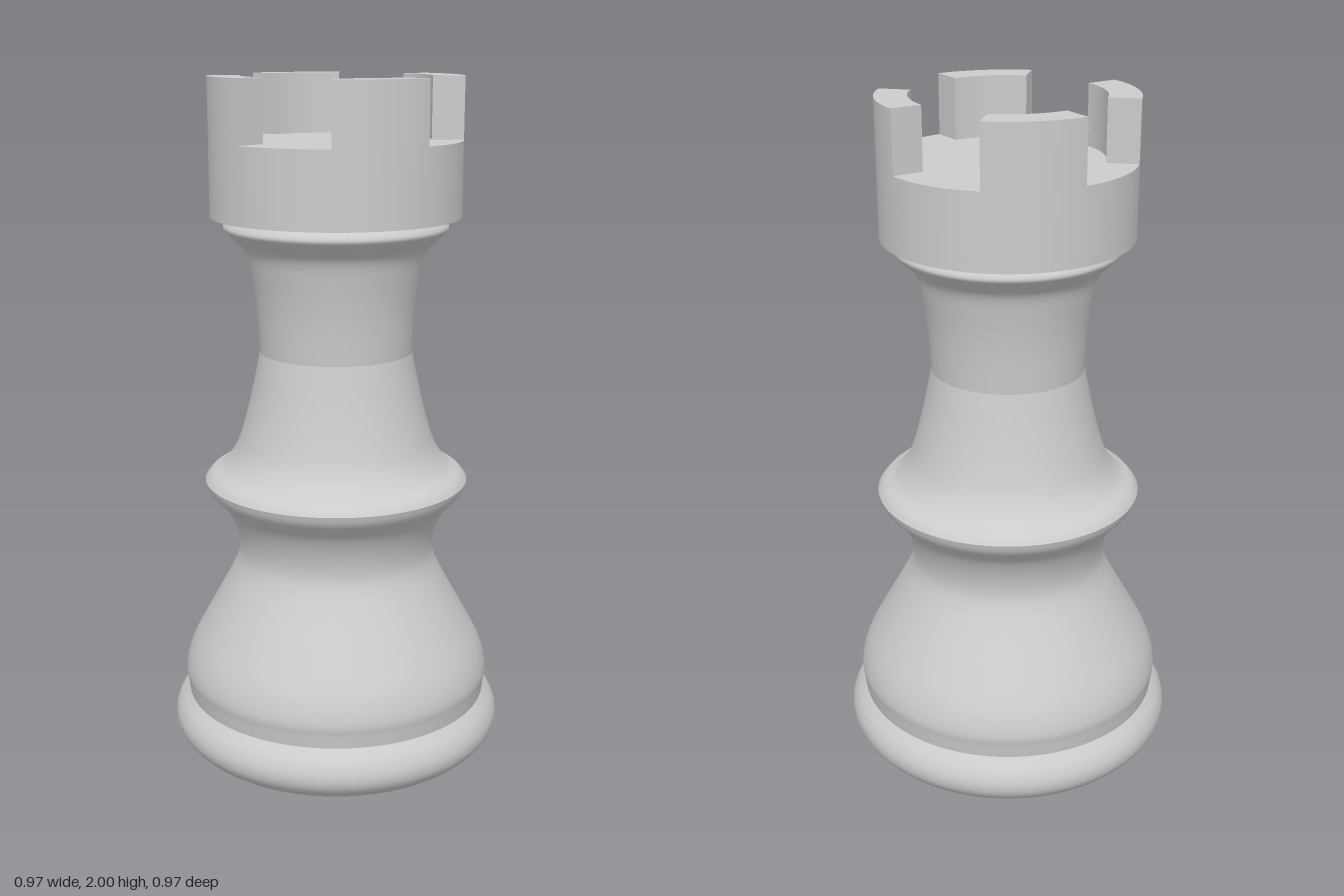
import * as THREE from 'three';

const material = new THREE.MeshStandardMaterial({ color: 0xcccccc, roughness: 0.6 });

// Smooth turned section through a few [radius, height] points
function turned(name, points, steps) {
  const curve = new THREE.SplineCurve(points.map(([r, y]) => new THREE.Vector2(r, y)));
  const profile = curve.getPoints(steps);
  profile.forEach((p) => { p.x = Math.max(p.x, 0); });
  const mesh = new THREE.Mesh(new THREE.LatheGeometry(profile, 96), material);
  mesh.name = name;
  return mesh;
}

export function createModel() {
  const group = new THREE.Group();
  group.name = 'rook';

  // Rounded foot with a slightly domed underside
  group.add(turned('foot', [
    [0, 0], [0.2, 0.015], [0.35, 0.032], [0.43, 0.06], [0.474, 0.1],
    [0.485, 0.14], [0.472, 0.18], [0.442, 0.215],
  ], 40));

  // Bell-shaped lower body flaring out to the ring
  group.add(turned('lowerBody', [
    [0.442, 0.215], [0.446, 0.25], [0.449, 0.29], [0.43, 0.355], [0.38, 0.45],
    [0.33, 0.54], [0.295, 0.61], [0.284, 0.66], [0.293, 0.72], [0.32, 0.78],
    [0.367, 0.833], [0.38, 0.865],
  ], 60));

  // Upper side of the ring running into the waist
  group.add(turned('waist', [
    [0.38, 0.865], [0.363, 0.885], [0.325, 0.91], [0.292, 0.955],
    [0.268, 1.02], [0.242, 1.12], [0.217, 1.24],
  ], 40));

  // Neck widening to the collar under the head
  group.add(turned('neck', [
    [0.217, 1.24], [0.225, 1.36], [0.24, 1.46], [0.258, 1.53], [0.297, 1.57],
    [0.315, 1.592], [0.303, 1.612], [0.28, 1.625],
  ], 48));

  // Head drum
  const R = 0.35, inner = 0.262, bottom = 1.622, floor = 1.83, top = 2;
  const drum = new THREE.Mesh(
    new THREE.CylinderGeometry(R, R, floor - bottom, 96), material);
  drum.position.y = (floor + bottom) / 2;
  drum.name = 'headDrum';
  group.add(drum);

  // Four battlements, each an eighth of the ring
  const sector = new THREE.Shape();
  sector.absarc(0, 0, R, -Math.PI / 4, 0, false);
  sector.absarc(0, 0, inner, 0, -Math.PI / 4, true);
  sector.closePath();
  const battlement = new THREE.ExtrudeGeometry(sector, {
    depth: top - floor, bevelEnabled: false, curveSegments: 12,
  });
  battlement.rotateX(-Math.PI / 2);
  for (let i = 0; i < 4; i++) {
    const mesh = new THREE.Mesh(battlement, material);
    mesh.position.y = floor;
    mesh.rotation.y = i * Math.PI / 2;
    mesh.name = `battlement${i + 1}`;
    group.add(mesh);
  }

  return group;
}
